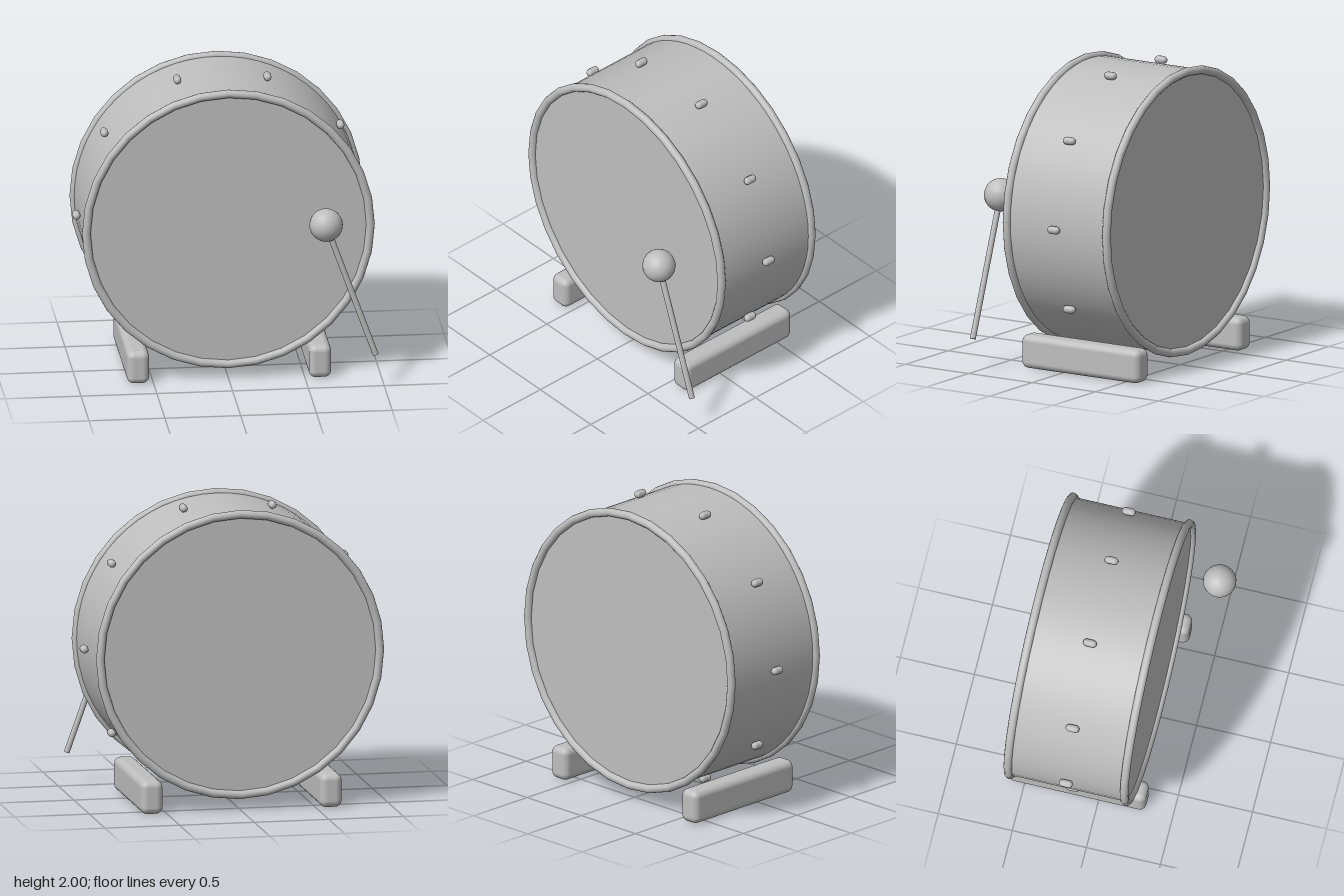
import * as THREE from 'three';
import { RoundedBoxGeometry } from 'three/addons/geometries/RoundedBoxGeometry.js';

export function createModel() {
  const model = new THREE.Group();
  model.name = 'bassDrum';
  const grey = new THREE.MeshStandardMaterial({ color: 0xbebebe });
  grey.name = 'plain grey';

  const add = (name, geometry, x, y, z) => {
    const mesh = new THREE.Mesh(geometry, grey);
    mesh.name = name;
    mesh.position.set(x, y, z);
    model.add(mesh);
    return mesh;
  };

  const centreY = 1.035, centreZ = -0.153, radius = 0.937, halfDepth = 0.393;

  // Shell, with the two drum heads as its end caps
  const shell = new THREE.CylinderGeometry(radius, radius, halfDepth * 2, 64);
  add('shellAndHeads', shell.rotateX(Math.PI / 2), 0, centreY, centreZ);

  // Rounded hoops around both heads
  for (const side of [1, -1]) {
    add(side > 0 ? 'frontHoop' : 'backHoop',
      new THREE.TorusGeometry(radius, 0.028, 12, 32), 0, centreY, centreZ + side * halfDepth);
  }

  // Ten small tension lugs around the middle of the shell
  const lug = new THREE.CapsuleGeometry(0.026, 0.04, 4, 10).rotateX(Math.PI / 2);
  for (let i = 0; i < 10; i++) {
    const a = (i / 10) * Math.PI * 2;
    add('lug', lug, 0.963 * Math.cos(a), centreY + 0.963 * Math.sin(a), -0.147);
  }

  // Rounded blocks the drum rests between
  for (const side of [1, -1]) {
    add(side > 0 ? 'leftFoot' : 'rightFoot',
      new RoundedBoxGeometry(0.146, 0.224, 0.93, 4, 0.045), side * 0.6, 0.112, -0.15);
  }

  // Mallet: ball head on a leaning stick
  const head = new THREE.Vector3(0.616, 1.13, 0.506);
  const tip = new THREE.Vector3(0.943, 0.222, 0.506);
  add('malletHead', new THREE.SphereGeometry(0.11, 20, 14), head.x, head.y, head.z);
  const along = head.clone().sub(tip);
  const middle = head.clone().add(tip).multiplyScalar(0.5);
  const stick = add('malletStick',
    new THREE.CylinderGeometry(0.0195, 0.0195, along.length(), 12), middle.x, middle.y, middle.z);
  stick.quaternion.setFromUnitVectors(new THREE.Vector3(0, 1, 0), along.normalize());

  return model;
}
